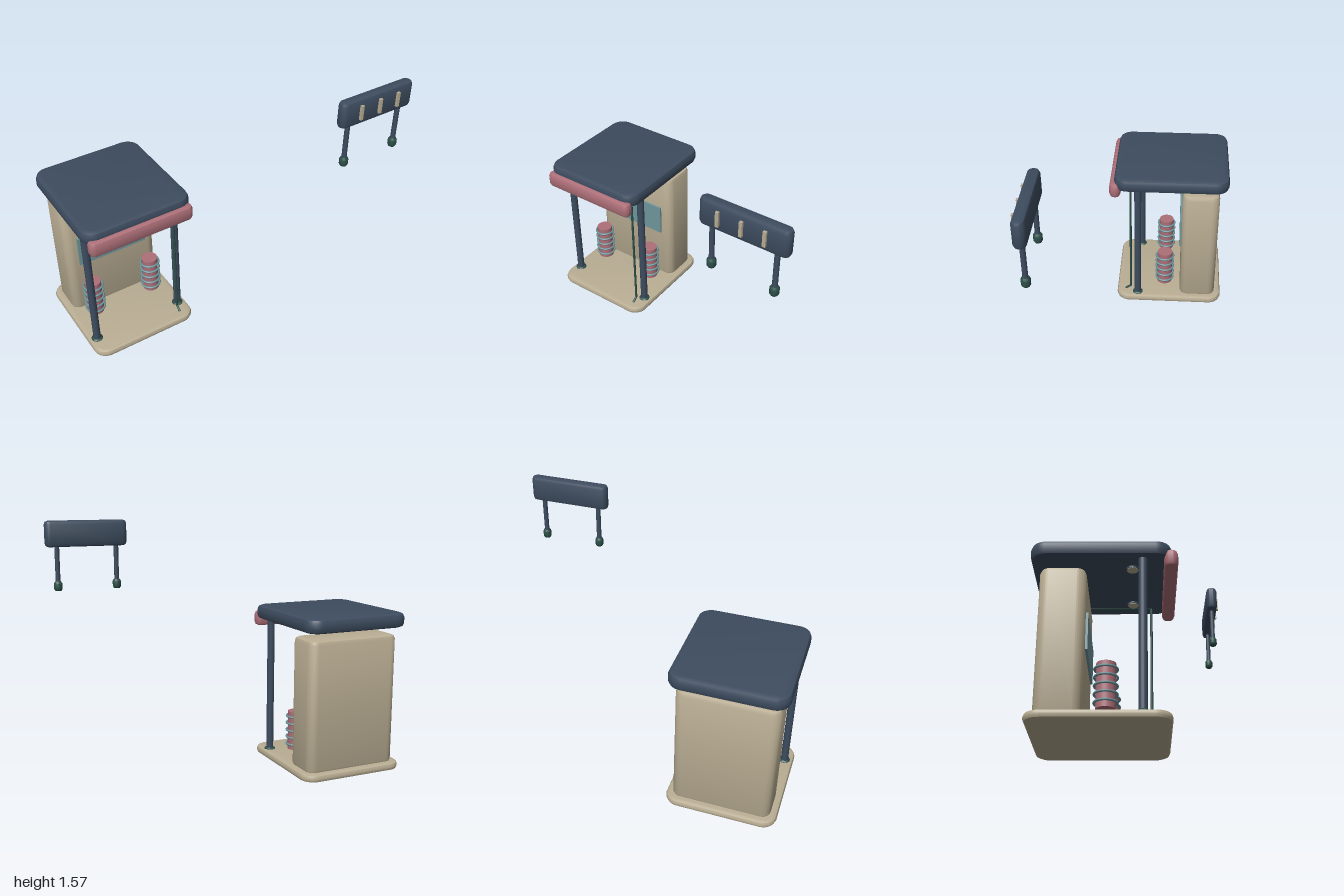
import * as THREE from 'three';
import { toCreasedNormals } from 'three/addons/utils/BufferGeometryUtils.js';

const mat = (name, color) => {
  const m = new THREE.MeshStandardMaterial({ color });
  m.name = name;
  return m;
};

export function createModel() {
  const group = new THREE.Group();
  const navy = mat('navy', 0x3d4c5f);
  const beige = mat('beige', 0xb9ad93);
  const pink = mat('dusty pink', 0xad6f78);
  const teal = mat('teal', 0x6f979d);
  const green = mat('dark green', 0x2c4f48);

  const add = (name, geo, material, x = 0, y = 0, z = 0, parent = group) => {
    const mesh = new THREE.Mesh(geo, material);
    mesh.name = name;
    mesh.position.set(x, y, z);
    parent.add(mesh);
    return mesh;
  };

  // Slab standing on y = 0: plan corners of radius r, top and bottom edges bevelled by b
  const slab = (w, h, d, r, b) => {
    const x = w / 2 - b, y = d / 2 - b, q = r - b;
    const s = new THREE.Shape();
    s.moveTo(x, -y + q);
    s.absarc(x - q, y - q, q, 0, Math.PI / 2);
    s.absarc(-x + q, y - q, q, Math.PI / 2, Math.PI);
    s.absarc(-x + q, -y + q, q, Math.PI, Math.PI * 1.5);
    s.absarc(x - q, -y + q, q, Math.PI * 1.5, Math.PI * 2);
    const g = new THREE.ExtrudeGeometry(s, {
      depth: h - 2 * b, bevelEnabled: true, bevelThickness: b, bevelSize: b,
      bevelSegments: 2, curveSegments: 8,
    });
    g.translate(0, 0, b).rotateX(-Math.PI / 2);
    return toCreasedNormals(g, 0.6);
  };

  // Turned part from [radius, height] points
  const turned = (pts, seg = 24) =>
    toCreasedNormals(new THREE.LatheGeometry(pts.map(p => new THREE.Vector2(...p)), seg), 0.6);

  // Booth body
  const cx = -0.648;
  add('basePlatform', slab(0.705, 0.05, 0.745, 0.09, 0.022), beige, cx, 0, -0.197);
  add('roof', slab(0.705, 0.09, 0.765, 0.09, 0.028), navy, cx, 0.925, -0.198);
  add('roofFascia', slab(0.675, 0.1, 0.075, 0.036, 0.025), pink, cx, 0.87, 0.178);
  add('cabinet', slab(0.622, 0.84, 0.25, 0.055, 0.028), beige, cx, 0.035, -0.4);
  add('screen', new THREE.BoxGeometry(0.47, 0.212, 0.014), teal, cx, 0.527, -0.269);

  // Mirrored posts, ringed columns and ceiling lamps
  for (const side of [-1, 1]) {
    const px = cx + side * 0.297;
    add('post', new THREE.CylinderGeometry(0.0235, 0.0235, 0.89, 20), navy, px, 0.485, 0.026);
    add('postFoot', turned([[0, 0], [0.036, 0], [0.036, 0.004], [0.026, 0.012], [0, 0.012]]), green, px, 0.048, 0.026);

    const column = new THREE.Group();
    column.name = 'ringedColumn';
    column.position.set(cx + side * 0.206, 0, -0.164);
    group.add(column);
    add('columnCore', new THREE.CylinderGeometry(0.052, 0.052, 0.253, 28), pink, 0, 0.223, 0, column);
    for (let i = 0; i < 5; i++) {
      const ring = new THREE.TorusGeometry(0.06, 0.007, 8, 32).rotateX(Math.PI / 2);
      add('columnRing', ring, teal, 0, 0.131 + i * 0.0465, 0, column);
    }

    const lx = cx + side * 0.2;
    add('lampRim', new THREE.CylinderGeometry(0.034, 0.034, 0.014, 24), navy, lx, 0.922, -0.03);
    add('lampLens', new THREE.CylinderGeometry(0.031, 0.031, 0.004, 24), beige, lx, 0.914, -0.03);
  }

  // Service pipe: up beside the post and back under the roof
  const path = new THREE.CurvePath();
  const pts = [[0.05, 0.115], [0.078, 0.077], [0.926, 0.077], [0.926, -0.5]]
    .map(([y, z]) => new THREE.Vector3(-0.383, y, z));
  for (let i = 0; i < 3; i++) path.add(new THREE.LineCurve3(pts[i], pts[i + 1]));
  for (const c of path.curves) add('servicePipe', new THREE.TubeGeometry(c, 1, 0.0075, 10), green);
  for (const p of [pts[1], pts[2]]) add('pipeElbow', new THREE.SphereGeometry(0.0075, 10, 8), green, p.x, p.y, p.z);

  // Hanging panel with marker bars and two legs
  const panel = new THREE.Group();
  panel.name = 'signPanel';
  panel.position.set(0.733, 0, 0.531);
  group.add(panel);
  add('panelBoard', slab(0.535, 0.166, 0.074, 0.0365, 0.023), navy, 0, 1.405, 0, panel);
  for (const x of [-0.14, 0, 0.136])
    add('markerBar', new THREE.BoxGeometry(0.019, 0.092, 0.02), beige, x, 1.49, 0.042, panel);
  for (const x of [-0.196, 0.192]) {
    add('panelLeg', new THREE.CylinderGeometry(0.0155, 0.0155, 0.26, 16), navy, x, 1.295, 0, panel);
    add('panelFoot', turned([[0, 0], [0.02, 0], [0.027, 0.012], [0.027, 0.046], [0.019, 0.06], [0, 0.06]], 16),
      green, x, 1.126, 0, panel);
  }
  return group;
}
